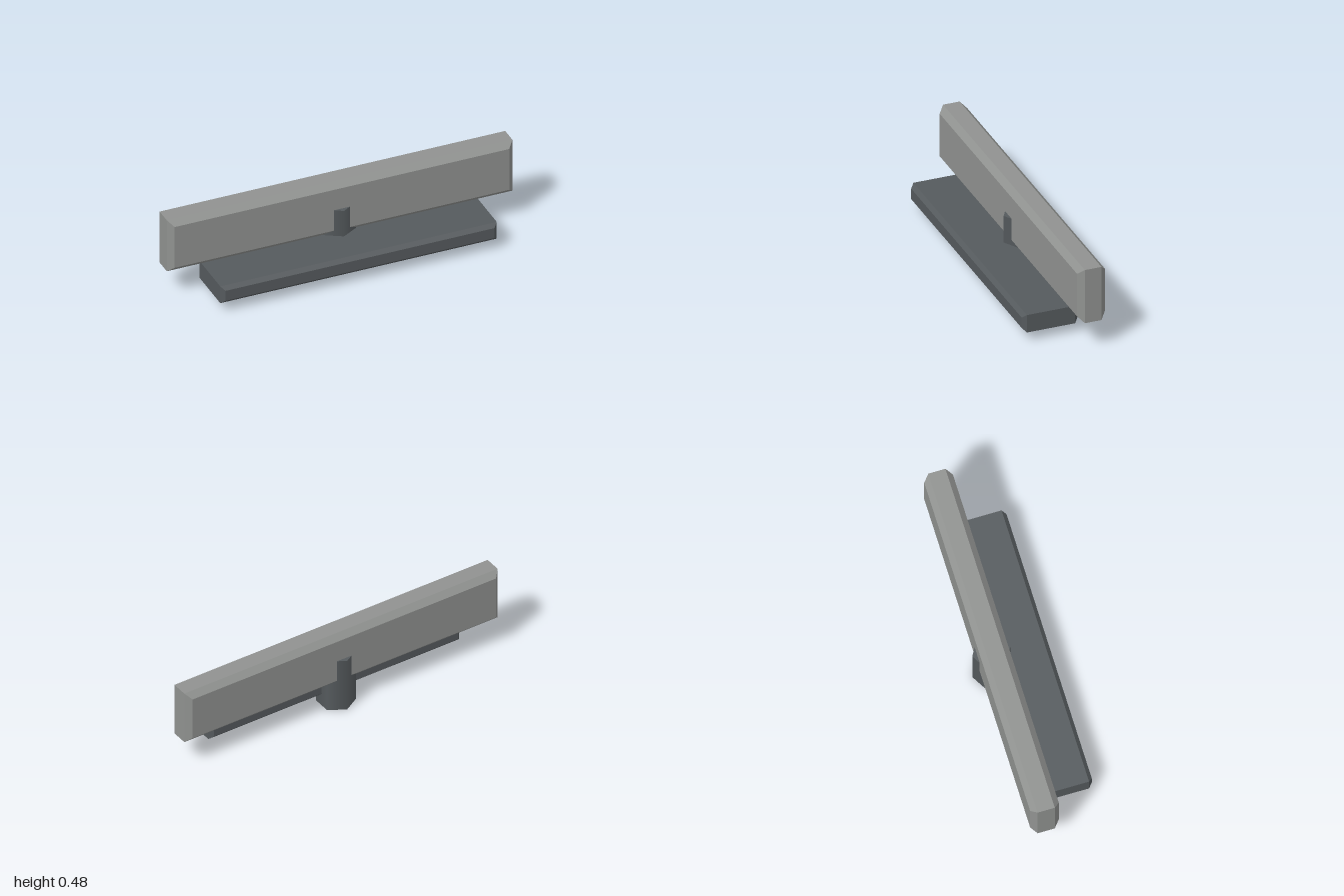
import * as THREE from 'three';

// Rectangular bar whose front and back rims are chamfered
function bevelledBar(width, y0, y1, zBack, zFront, bevel) {
  const x = width / 2 - bevel;
  const shape = new THREE.Shape([
    new THREE.Vector2(-x, y0 + bevel),
    new THREE.Vector2(x, y0 + bevel),
    new THREE.Vector2(x, y1 - bevel),
    new THREE.Vector2(-x, y1 - bevel),
  ]);
  const geometry = new THREE.ExtrudeGeometry(shape, {
    depth: zFront - zBack - 2 * bevel,
    bevelEnabled: true,
    bevelThickness: bevel,
    bevelSize: bevel,
    bevelSegments: 1,
  });
  return geometry.translate(0, 0, zBack + bevel);
}

export function createModel() {
  const lightGrey = new THREE.MeshStandardMaterial({ name: 'lightGrey', color: 0x909290 });
  const darkGrey = new THREE.MeshStandardMaterial({ name: 'darkGrey', color: 0x555a5d });

  const group = new THREE.Group();
  const add = (name, geometry, material) => {
    const mesh = new THREE.Mesh(geometry, material);
    mesh.name = name;
    group.add(mesh);
  };

  // Upright panel
  add('uprightPanel', bevelledBar(2, 0.16, 0.48, -0.186, -0.027, 0.032), lightGrey);

  // Flat shelf below and in front of it
  add('lowerShelf', bevelledBar(1.6, 0.055, 0.16, -0.106, 0.213, 0.0213), darkGrey);

  // Six-sided, smooth-shaded post with a corner facing front and back
  const post = new THREE.CylinderGeometry(0.1065, 0.1065, 0.32, 6);
  post.translate(0, 0.16, -0.1065);
  add('post', post, darkGrey);

  return group;
}
